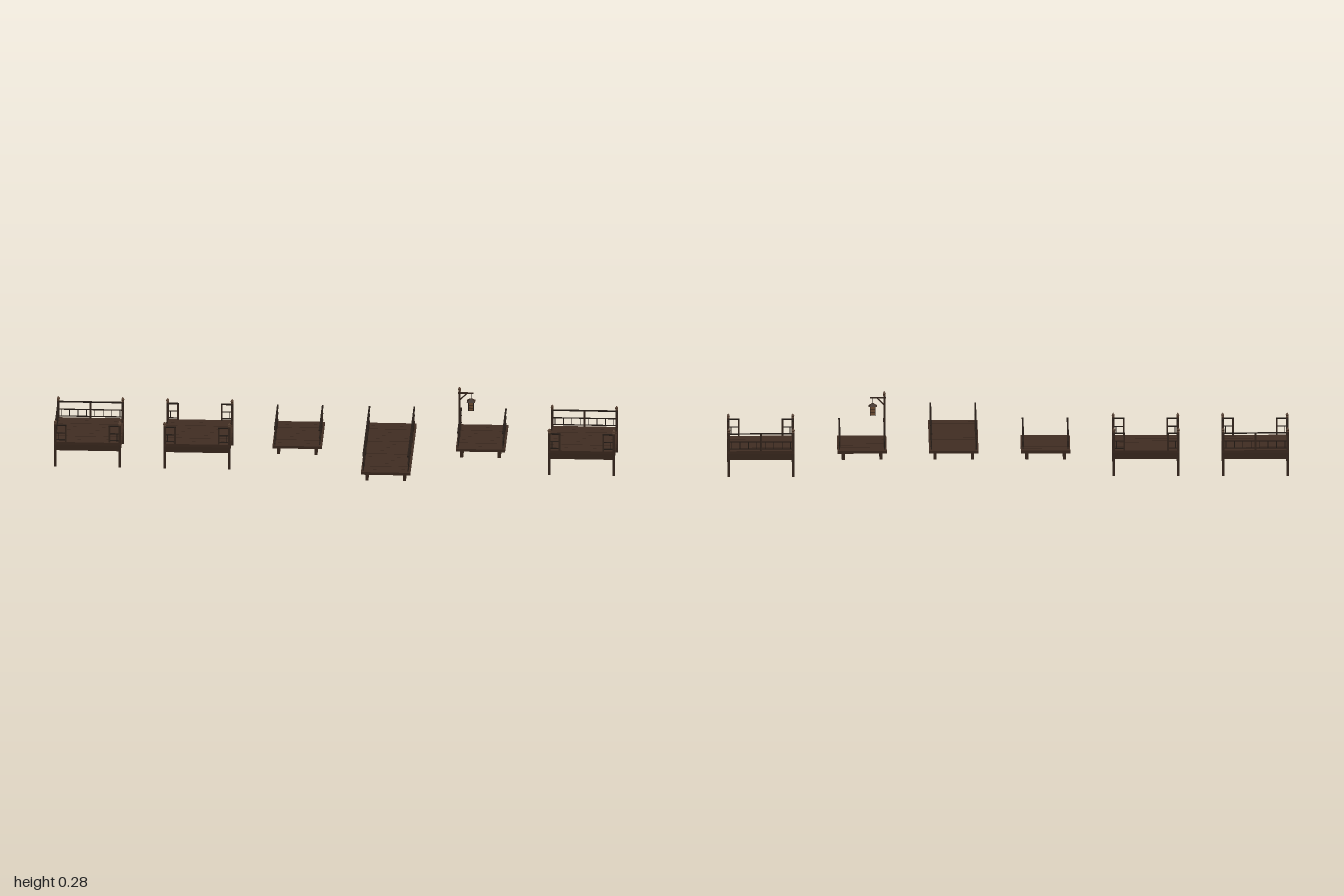
import * as THREE from 'three';

const material = (name, color) => {
  const m = new THREE.MeshStandardMaterial({ color });
  m.name = name;
  return m;
};

export function createModel() {
  const plankWood = material('plank wood', 0x402d22);
  const beamWood = material('beam wood', 0x3d2b20);
  const postWood = material('post wood', 0x3a2a20);
  const railWood = material('rail wood', 0x261d17);
  const capWood = material('cap wood', 0x5a402e);
  const lanternPane = material('lantern pane', 0x7a5538);

  const box = (parent, name, mat, w, h, d, x, y, z) => {
    const m = new THREE.Mesh(new THREE.BoxGeometry(w, h, d), mat);
    m.name = name;
    m.position.set(x, y, z);
    parent.add(m);
    return m;
  };

  // Square post from y0 to y1
  const post = (parent, name, size, x, z, y0, y1, mat = postWood) =>
    box(parent, name, mat, size, y1 - y0, size, x, (y0 + y1) / 2, z);

  // Collar and pointed four-sided finial standing on a post
  const finial = (parent, x, y, z) => {
    const profile = [[0, 0], [0.006, 0], [0.006, 0.003], [0.0045, 0.004],
      [0.0075, 0.008], [0.004, 0.013], [0, 0.017]].map(p => new THREE.Vector2(...p));
    const g = new THREE.LatheGeometry(profile, 4).toNonIndexed();
    g.rotateY(Math.PI / 4);
    g.computeVertexNormals();
    const m = new THREE.Mesh(g, capWood);
    m.name = 'finial';
    m.position.set(x, y, z);
    parent.add(m);
  };

  // Railing running along local x from a to b, with posts and short balusters
  const railing = (a, b, posts) => {
    const g = new THREE.Group();
    g.name = 'railing';
    const mid = (a + b) / 2, len = b - a;
    box(g, 'topRail', railWood, len, 0.004, 0.006, mid, 0.156, 0);
    box(g, 'middleRail', railWood, len, 0.003, 0.004, mid, 0.127, 0);
    box(g, 'lowerRail', railWood, len, 0.003, 0.004, mid, 0.101, 0);
    for (const p of posts) post(g, 'railPost', 0.006, p, 0, 0.09, 0.156);
    for (let i = -8; i < 8; i++) {
      const x = 0.015 + i * 0.03;
      if (x > a + 0.004 && x < b - 0.004) post(g, 'baluster', 0.0025, x, 0, 0.101, 0.127, railWood);
    }
    return g;
  };

  // Planks across the deck, with an open joint at every second pair
  const planks = (parent, width, length) => {
    const count = Math.round(length / 0.03);
    for (let i = 0; i < count; i++) {
      const z0 = -length / 2 + i * 0.03;
      const g0 = i % 4 === 2 ? 0.0018 : 0.0003;
      const g1 = i % 4 === 1 ? 0.0018 : 0.0003;
      box(parent, 'plank', plankWood, width, 0.01, 0.03 - g0 - g1, 0, 0.089, z0 + 0.015 + (g0 - g1) / 2);
    }
  };

  const walkway = (name, length) => {
    const g = new THREE.Group();
    g.name = name;
    planks(g, 0.176, length);
    const posts = [];
    for (let p = -length / 2 + 0.06; p < length / 2; p += 0.12) posts.push(p);
    for (const s of [-1, 1]) {
      box(g, 'stringer', beamWood, 0.011, 0.022, length, s * 0.067, 0.073, 0);
      const r = railing(-length / 2, length / 2, posts);
      r.rotation.y = Math.PI / 2;
      r.position.x = s * 0.08;
      g.add(r);
    }
    return g;
  };

  // Square landing; closedSides lists the edges with a full railing
  const platform = (name, closedSides) => {
    const g = new THREE.Group();
    g.name = name;
    const h = 0.115;
    planks(g, 0.238, 0.24);
    for (const s of [-1, 1]) {
      box(g, 'sideBeam', beamWood, 0.008, 0.024, 0.228, s * h, 0.074, 0);
      box(g, 'endBeam', beamWood, 0.23, 0.024, 0.008, 0, 0.074, s * h);
      box(g, 'joist', beamWood, 0.024, 0.016, 0.222, s * 0.08, 0.076, 0);
      for (const t of [-1, 1]) {
        post(g, 'cornerPost', 0.009, s * h, t * h, 0, 0.16);
        finial(g, s * h, 0.16, t * h);
      }
    }
    const turns = { front: 0, left: 1, back: 2, right: 3 };
    for (const [side, turn] of Object.entries(turns)) {
      const edge = new THREE.Group();
      edge.name = side + 'Edge';
      const parts = closedSides.includes(side)
        ? [railing(-h, h, [0])]
        : [railing(-h, -0.075, [-0.078]), railing(0.075, h, [0.078])];
      for (const r of parts) {
        r.position.z = h;
        edge.add(r);
      }
      edge.rotation.y = turn * Math.PI / 2;
      g.add(edge);
    }
    return g;
  };

  // Lamp post with bracket and hanging lantern
  const lamp = () => {
    const g = new THREE.Group();
    g.name = 'lampPost';
    post(g, 'pole', 0.007, 0, 0, 0.085, 0.268);
    finial(g, 0, 0.268, 0);
    box(g, 'arm', postWood, 0.056, 0.005, 0.005, 0.022, 0.261, 0);
    box(g, 'brace', postWood, 0.034, 0.004, 0.004, 0.013, 0.247, 0).rotation.z = Math.PI / 4;
    box(g, 'hanger', railWood, 0.002, 0.024, 0.002, 0.041, 0.25, 0);
    const lantern = new THREE.Group();
    lantern.name = 'lantern';
    lantern.position.x = 0.041;
    box(lantern, 'pane', lanternPane, 0.018, 0.032, 0.018, 0, 0.214, 0);
    for (const y of [0.198, 0.208, 0.219, 0.23])
      box(lantern, 'band', railWood, 0.02, 0.0016, 0.02, 0, y, 0);
    for (const x of [-1, 1]) for (const z of [-1, 1])
      post(lantern, 'frameBar', 0.0025, x * 0.009, z * 0.009, 0.197, 0.231, railWood);
    const roofShape = new THREE.CylinderGeometry(0.005, 0.021, 0.01, 4).toNonIndexed();
    roofShape.rotateY(Math.PI / 4);
    roofShape.computeVertexNormals();
    const roof = new THREE.Mesh(roofShape, postWood);
    roof.name = 'lanternRoof';
    roof.position.y = 0.235;
    lantern.add(roof);
    g.add(lantern);
    return g;
  };

  const model = new THREE.Group();
  model.name = 'walkwayKit';
  const place = (part, x, z) => {
    part.position.set(x, 0, z);
    model.add(part);
    return part;
  };
  place(platform('cornerPlatform', ['back', 'right']), -0.881, -0.12);
  place(platform('crossPlatform', []), -0.491, -0.12);
  place(walkway('shortWalkway', 0.24), -0.133, -0.12);
  place(walkway('longWalkway', 0.48), 0.194, 0);
  const lit = place(walkway('lampWalkway', 0.24), 0.521, -0.12);
  const light = lamp();
  light.position.x = -0.08;
  lit.add(light);
  place(platform('sidePlatform', ['back']), 0.881, -0.12);
  return model;
}
